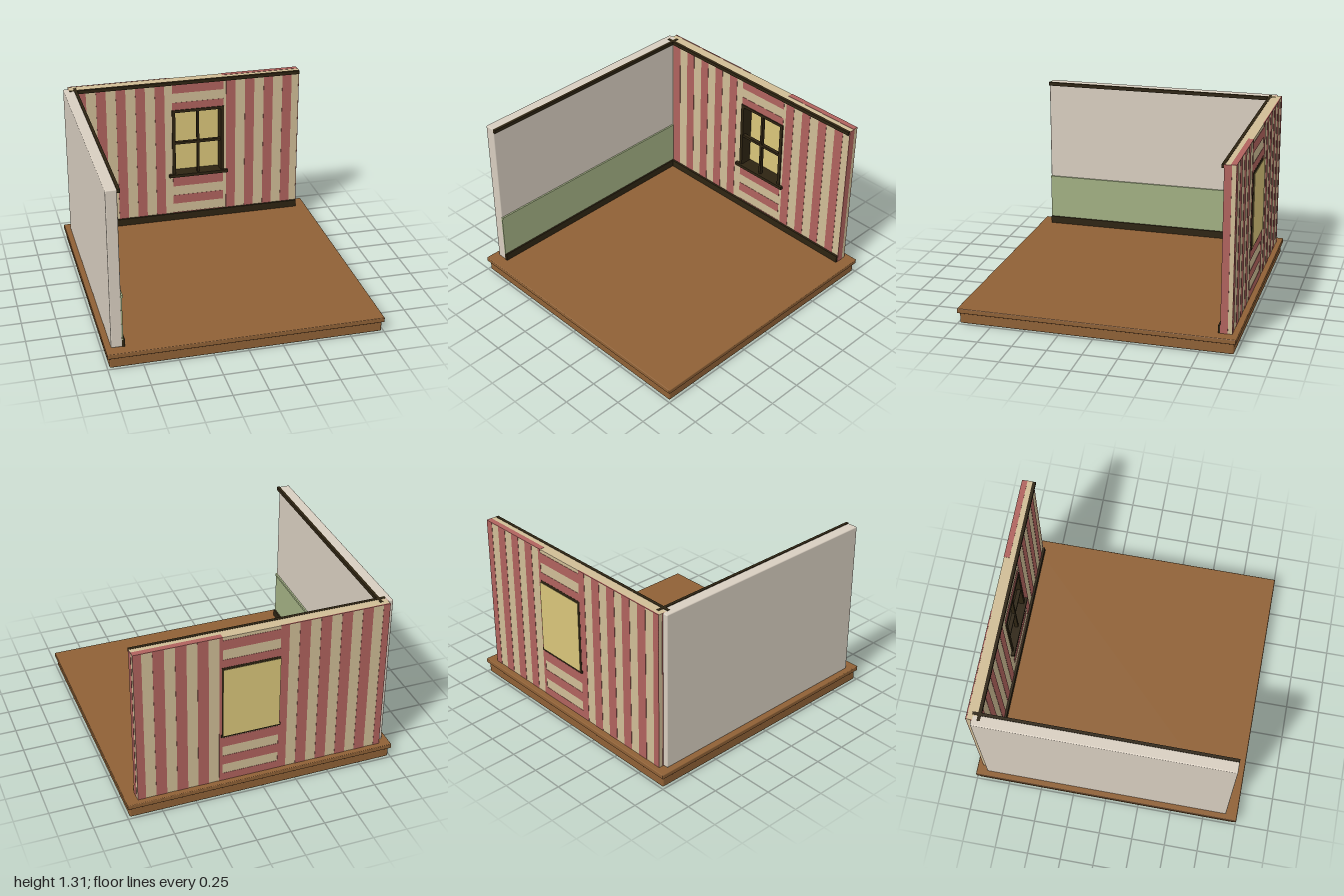
import * as THREE from 'three';
import { RoundedBoxGeometry } from 'three/addons/geometries/RoundedBoxGeometry.js';

const mat = (name, color, side = THREE.FrontSide) => {
  const m = new THREE.MeshStandardMaterial({ color, side });
  m.name = name;
  return m;
};

export function createModel() {
  const wood = mat('wood', 0x8f6136);
  const dark = mat('dark trim', 0x2e2412);
  const cream = mat('cream wallpaper', 0xd0bd96);
  const red = mat('red wallpaper', 0xb0635e);
  const plaster = mat('plaster', 0xd8cec0);
  const green = mat('green panel', 0xa2b083);
  const pane = mat('window pane', 0xdac67a, THREE.DoubleSide);

  const root = new THREE.Group();
  root.name = 'roomCorner';
  const group = (name) => {
    const g = new THREE.Group();
    g.name = name;
    root.add(g);
    return g;
  };
  // Box given by its limits on each axis; r rounds the edges
  const box = (parent, name, m, [x0, x1], [y0, y1], [z0, z1], r = 0) => {
    const s = [x1 - x0, y1 - y0, z1 - z0];
    const geo = r ? new RoundedBoxGeometry(...s, 3, r) : new THREE.BoxGeometry(...s);
    const mesh = new THREE.Mesh(geo, m);
    mesh.name = name;
    mesh.position.set((x0 + x1) / 2, (y0 + y1) / 2, (z0 + z1) / 2);
    parent.add(mesh);
  };

  // Plinth and floor
  const base = group('base');
  box(base, 'plinth', wood, [-0.985, 0.985], [0, 0.085], [-0.985, 0.985], 0.012);
  box(base, 'floorSlab', wood, [-1, 1], [0.08, 0.116], [-1, 1], 0.006);

  const Y = [0.115, 1.31], zF = -0.877, zB = -0.957, T = 0.002;

  // Plain side wall with panelling and trim
  const side = group('sideWall');
  const Z = [-0.92, 0.915];
  box(side, 'sideWallPanel', plaster, [-0.958, -0.878], Y, Z, 0.008);
  box(side, 'wainscot', green, [-0.882, -0.872], [0.17, 0.505], Z);
  box(side, 'wainscotRail', green, [-0.882, -0.865], [0.502, 0.52], Z);
  box(side, 'sideBaseboard', dark, [-0.882, -0.86], [0.115, 0.172], Z);
  box(side, 'sideCrown', dark, [-0.88, -0.858], [1.285, 1.312], Z);

  // Papered back wall: cream core, red stripes as thin plates
  const back = group('backWall');
  const xL = -0.918, xR = 0.915, wL = -0.117, wR = 0.297, step = 0.1535, half = 0.0755;
  const plate = (name, x, y, isFront) =>
    box(back, name, red, x, y, isFront ? [zF - T, zF + T] : [zB - T, zB + T]);
  const papered = (x0, x1, firstRed) => {
    box(back, 'wallSection', cream, [x0, x1], Y, [zB, zF]);
    for (let a = firstRed - step; a < x1; a += step) {
      // the rear paper alternates with the front
      [[a, a + half, true], [a + half, a + step, false]].forEach(([s, e, front]) => {
        const lo = Math.max(s, x0), hi = Math.min(e, x1);
        if (hi - lo > 0.004) plate(front ? 'frontStripe' : 'rearStripe', [lo, hi], Y, front);
      });
    }
  };
  papered(xL, wL, -0.868);
  papered(wR, xR, 0.32);
  box(back, 'redEnd', red, [xR - T, xR + T], Y, [-0.927, zF + T]);
  box(back, 'redEnd', red, [xL - T, xL + T], Y, [-0.927, zF + T]);
  box(back, 'redTop', red, [wR, xR], [1.308, 1.312], [zB - T, -0.918]);
  box(back, 'redTop', red, [xL, wL], [1.308, 1.312], [zB - T, -0.951]);

  // Wall above and below the window, with level stripes
  box(back, 'lintelWall', cream, [wL, wR], [1.06, 1.31], [zB, zF]);
  box(back, 'apronWall', cream, [wL, wR], [0.115, 0.51], [zB, zF]);
  for (const y of [[1.21, 1.285], [1.06, 1.132], [0.41, 0.486], [0.255, 0.33], [0.115, 0.177]])
    for (const front of [true, false]) plate('levelStripe', [wL, wR], y, front);
  box(back, 'backBaseboard', dark, [-0.878, xR], [0.115, 0.172], [zF - 0.005, -0.86]);
  box(back, 'backCrown', dark, [xL, xR], [1.285, 1.312], [zF - 0.004, -0.858]);

  // Window: frame through the wall, glazing bars, sill and pane
  const win = group('window');
  const depth = [-0.96, -0.868], wy = [0.51, 1.07], mid = (wL + wR) / 2;
  box(win, 'jamb', dark, [wL - 0.004, wL + 0.022], wy, depth);
  box(win, 'jamb', dark, [wR - 0.022, wR + 0.004], wy, depth);
  box(win, 'head', dark, [wL, wR], [1.048, 1.07], depth);
  box(win, 'verticalBar', dark, [mid - 0.009, mid + 0.009], wy, [-0.9, -0.872]);
  box(win, 'crossBar', dark, [wL, wR], [0.776, 0.796], [-0.9, -0.872]);
  box(win, 'sill', dark, [-0.15, 0.33], [0.497, 0.521], [-0.88, -0.852]);
  box(win, 'rearSill', dark, [wL - 0.012, wR + 0.012], [0.497, 0.517], [-0.968, -0.87]);
  box(win, 'pane', pane, [wL, wR], [0.512, 1.06], [-0.974, -0.97]);

  return root;
}
